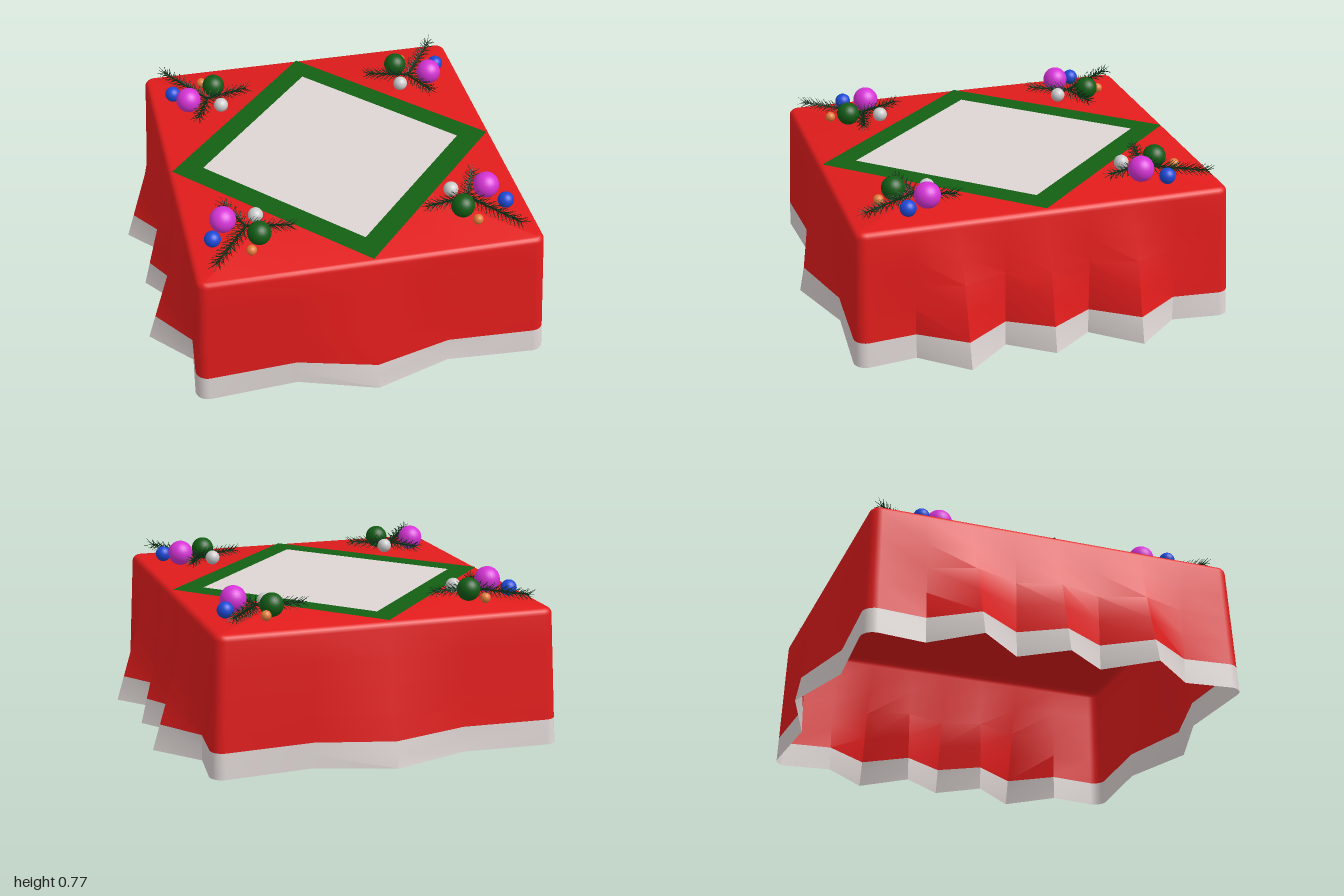
import * as THREE from 'three';
import { mergeGeometries, toCreasedNormals } from 'three/addons/utils/BufferGeometryUtils.js';

const mat = (color) => new THREE.MeshStandardMaterial({ color, side: THREE.DoubleSide });
const red = mat(0xe21c1c), white = mat(0xded6d4), green = mat(0x146014);
const pink = mat(0xd633d6), blue = mat(0x1c49d6), orange = mat(0xe07b39);
const pearl = mat(0xeeeeee), needleGreen = mat(0x0c3016), darkGreen = mat(0x125a14);

const TOP = 0.645, BEVEL = 0.03, BAND = 0.12, R = 0.05;
const CX = 0.75, CZ = 0.83; // centre of the rounded table corner

function mesh(name, geometry, material) {
  const m = new THREE.Mesh(geometry, material);
  m.name = name;
  return m;
}

// Outline of the cloth: core point, outward direction, and hem position
function outline() {
  const q = [];
  const side = (z, hemX) => q.push({ c: [CX, z], d: [1, 0], hem: [hemX, z] });
  side(0, 0.95); side(0.2, 0.805); side(0.41, 0.985); side(0.62, 0.805);
  for (let i = 0; i <= 6; i++) {
    const a = (i / 6) * Math.PI / 2, d = [Math.cos(a), Math.sin(a)];
    q.push({ c: [CX, CZ], d, hem: [0.77 + 0.06 * d[0], 0.845 + 0.06 * d[1]] });
  }
  q.push({ c: [0.36, CZ], d: [0, 1], hem: [0.36, 0.878] });
  q.push({ c: [0, CZ], d: [0, 1], hem: [0, 1] });
  const flip = (p, sx, sz) => {
    const f = ([x, z]) => [x * sx, z * sz];
    return { c: f(p.c), d: f(p.d), hem: f(p.hem) };
  };
  const half = [...q, ...q.slice(0, -1).reverse().map((p) => flip(p, -1, 1))];
  return [...half, ...half.slice(1, -1).reverse().map((p) => flip(p, 1, -1))];
}

// Skin a stack of rings from top to bottom, optionally capped on top
function skin(rings, capY) {
  const n = rings[0].length, pos = rings.flat(2), index = [];
  for (let r = 0; r < rings.length - 1; r++) {
    for (let i = 0; i < n; i++) {
      const j = (i + 1) % n, a = r * n, b = a + n;
      index.push(a + i, a + j, b + i, a + j, b + j, b + i);
    }
  }
  if (capY !== undefined) {
    pos.push(0, capY, 0);
    for (let i = 0; i < n; i++) index.push(rings.length * n, (i + 1) % n, i);
  }
  const g = new THREE.BufferGeometry();
  g.setAttribute('position', new THREE.Float32BufferAttribute(pos, 3));
  g.setIndex(index);
  return toCreasedNormals(g, 0.65);
}

function cloth() {
  const pts = outline(), shoulder = TOP - BEVEL;
  const topRing = (inset, y) => pts.map(({ c, d }) =>
    [c[0] + d[0] * (R - inset), y, c[1] + d[1] * (R - inset)]);
  const wallRing = (y) => {
    const t = 1 - y / shoulder;
    return pts.map(({ c, d, hem }) => [0, 1].map((k) =>
      THREE.MathUtils.lerp(c[k] + d[k] * R, hem[k], t))).map(([x, z]) => [x, y, z]);
  };
  const rings = [];
  for (let i = 5; i >= 1; i--) {
    const a = (i / 5) * Math.PI / 2;
    rings.push(topRing(BEVEL * (1 - Math.cos(a)), shoulder + BEVEL * Math.sin(a)));
  }
  for (let i = 0; i <= 4; i++) rings.push(wallRing(THREE.MathUtils.lerp(shoulder, BAND, i / 4)));
  const g = new THREE.Group();
  g.name = 'tablecloth';
  g.add(mesh('redCloth', skin(rings, TOP), red));
  g.add(mesh('whiteHem', skin([wallRing(BAND), wallRing(BAND / 2), wallRing(0)]), white));
  return g;
}

// Flat diamond panel with a green border
function diamond(x, z, Type = THREE.Shape) {
  return new Type([[x, 0], [0, z], [-x, 0], [0, -z]].map((p) => new THREE.Vector2(...p)));
}
function centrePanel() {
  const g = new THREE.Group();
  g.name = 'centrePanel';
  const border = diamond(0.78, 0.862);
  border.holes.push(diamond(0.63, 0.7, THREE.Path));
  g.add(mesh('greenBorder', new THREE.ShapeGeometry(border), green));
  g.add(mesh('whiteDiamond', new THREE.ShapeGeometry(diamond(0.63, 0.7)), white));
  g.rotation.x = -Math.PI / 2;
  g.position.y = TOP + 0.004;
  return g;
}

// Thin tapered rod between two points
const UP = new THREE.Vector3(0, 1, 0);
function rod(a, b, r0, r1) {
  const dir = b.clone().sub(a), len = dir.length();
  const g = new THREE.CylinderGeometry(r1, r0, len, 3, 1);
  g.applyQuaternion(new THREE.Quaternion().setFromUnitVectors(UP, dir.normalize()));
  const mid = a.clone().add(b).multiplyScalar(0.5);
  return g.translate(mid.x, mid.y, mid.z);
}

// Fir twig: stem with needles spiralling around it and leaning forward
function twig(a, b) {
  const axis = b.clone().sub(a), len = axis.length();
  axis.normalize();
  const u = new THREE.Vector3().crossVectors(axis, UP).normalize();
  const v = new THREE.Vector3().crossVectors(u, axis);
  const parts = [rod(a, b, 0.006, 0.003)];
  const count = Math.round(len * 300);
  for (let i = 0; i < count; i++) {
    const t = i / count, ang = i * 2.4, reach = 0.05 * (1 - 0.35 * t);
    const root = a.clone().addScaledVector(axis, t * len);
    const tip = root.clone().addScaledVector(axis, 0.035)
      .addScaledVector(u, Math.cos(ang) * reach)
      .addScaledVector(v, Math.sin(ang) * reach * 0.8);
    parts.push(rod(root, tip, 0.0024, 0.0006));
  }
  return mergeGeometries(parts);
}

// Corner spray of three twigs and five baubles, mirrored by signs
function cornerSpray(name, sx, sz) {
  const g = new THREE.Group();
  g.name = name;
  const at = (x, y, z) => new THREE.Vector3(x * sx, y, z * sz);
  const heart = at(0.52, 0.685, 0.545);
  const tips = [at(0.7, 0.7, 0.81), at(0.32, 0.692, 0.59), at(0.595, 0.692, 0.37)];
  g.add(mesh('firTwigs', mergeGeometries(tips.map((t) => twig(heart, t))), needleGreen));
  const baubles = [
    ['pinkBauble', 0.62, 0.712, 0.51, 0.061, pink],
    ['greenBauble', 0.475, 0.702, 0.632, 0.055, darkGreen],
    ['blueBauble', 0.685, 0.69, 0.615, 0.038, blue],
    ['whiteBauble', 0.463, 0.685, 0.472, 0.035, pearl],
    ['orangeBauble', 0.525, 0.675, 0.713, 0.024, orange],
  ];
  for (const [label, x, y, z, r, m] of baubles) {
    const ball = mesh(label, new THREE.SphereGeometry(r, 24, 16), m);
    ball.position.copy(at(x, y, z));
    g.add(ball);
  }
  return g;
}

export function createModel() {
  const model = new THREE.Group();
  model.name = 'festiveTablecloth';
  model.add(cloth(), centrePanel());
  for (const sx of [1, -1]) {
    for (const sz of [1, -1]) {
      model.add(cornerSpray(`${sz > 0 ? 'front' : 'back'}${sx > 0 ? 'Left' : 'Right'}Spray`, sx, sz));
    }
  }
  return model;
}
